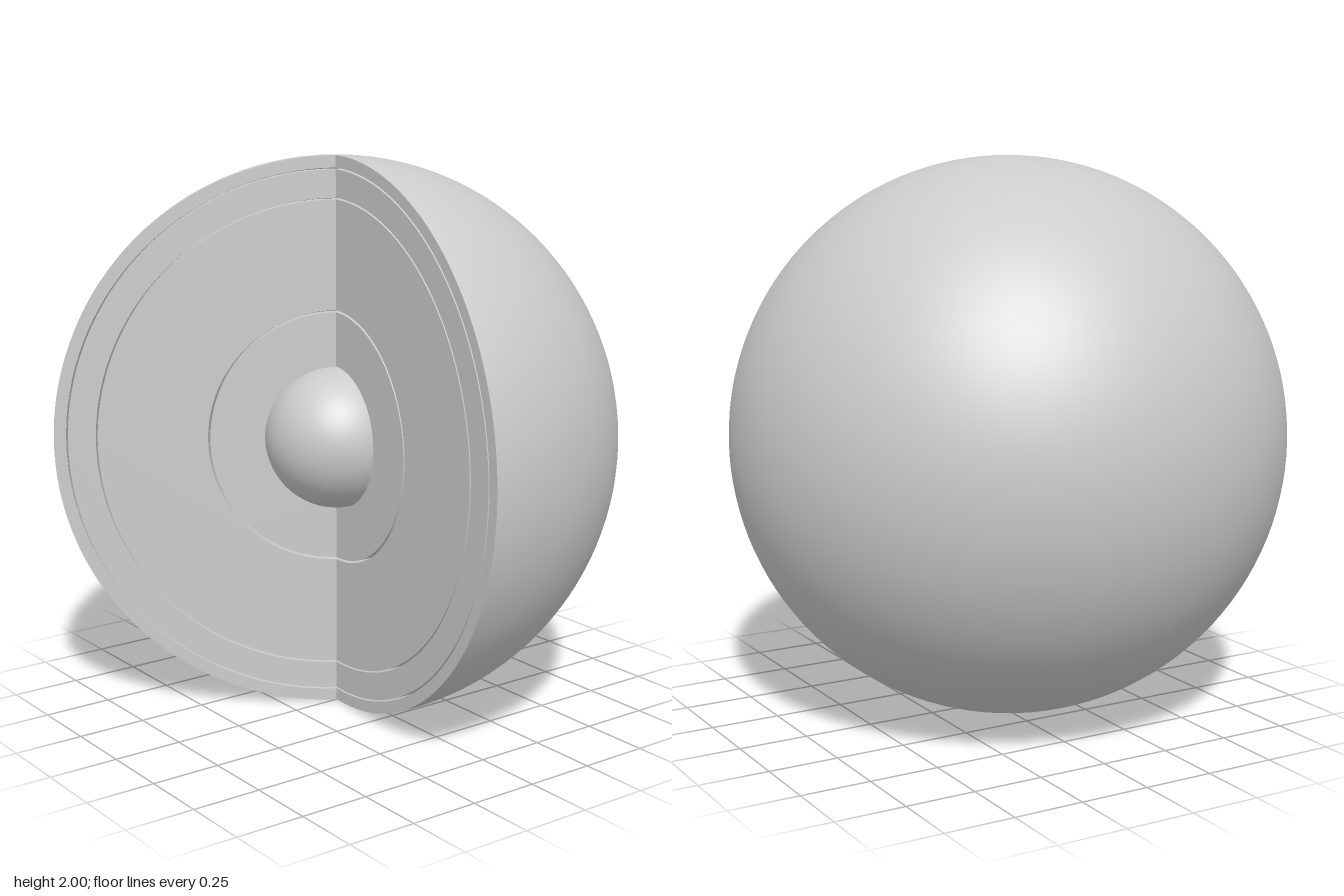
import * as THREE from 'three';

const rad = THREE.MathUtils.degToRad;
const OPEN_FROM = 6, OPEN_TO = 120; // missing wedge, degrees from +x towards +z
const grey = new THREE.MeshStandardMaterial({ color: 0xcccccc });
const greyInside = new THREE.MeshStandardMaterial({ color: 0xcccccc, side: THREE.BackSide });

// Sphere surface with the wedge left out
function openSphere(r) {
  return new THREE.SphereGeometry(r, 72, 64, rad(180 - OPEN_FROM), rad(360 - OPEN_TO + OPEN_FROM));
}

// Flat half ring on one side of the axis, facing +z
function halfRing(outer, inner, side) {
  const s = new THREE.Shape();
  const q = Math.PI / 2;
  if (side > 0) {
    s.absarc(0, 0, outer, -q, q, false);
    s.absarc(0, 0, inner, q, -q, true);
  } else {
    s.absarc(0, 0, outer, -q, -3 * q, true);
    s.absarc(0, 0, inner, -3 * q, -q, false);
  }
  return new THREE.ShapeGeometry(s, 64);
}

function add(group, name, geometry, material = grey) {
  const mesh = new THREE.Mesh(geometry, material);
  mesh.name = name;
  group.add(mesh);
}

// One thick shell: outside, inside and the two cut faces
function layer(name, outer, inner) {
  const g = new THREE.Group();
  g.name = name;
  add(g, name + 'Outside', openSphere(outer));
  add(g, name + 'Inside', openSphere(inner), greyInside);
  add(g, name + 'LeftCut', halfRing(outer, inner, 1).rotateY(-rad(OPEN_FROM)));
  add(g, name + 'RightCut', halfRing(outer, inner, -1).rotateY(rad(180 - OPEN_TO)));
  return g;
}

export function createModel() {
  const model = new THREE.Group();
  model.name = 'cutawayPlanet';

  const planet = new THREE.Group();
  planet.name = 'layers';
  planet.position.set(0, 1, 0.067);
  model.add(planet);

  // Shells from the outside in, with hairline gaps between them
  planet.add(layer('crust', 1, 0.957));
  planet.add(layer('upperMantle', 0.951, 0.853));
  planet.add(layer('lowerMantle', 0.847, 0.458));
  planet.add(layer('outerCore', 0.45, 0.255));

  // Whole ball in the middle
  add(planet, 'innerCore', new THREE.SphereGeometry(0.254, 64, 48));
  return model;
}
